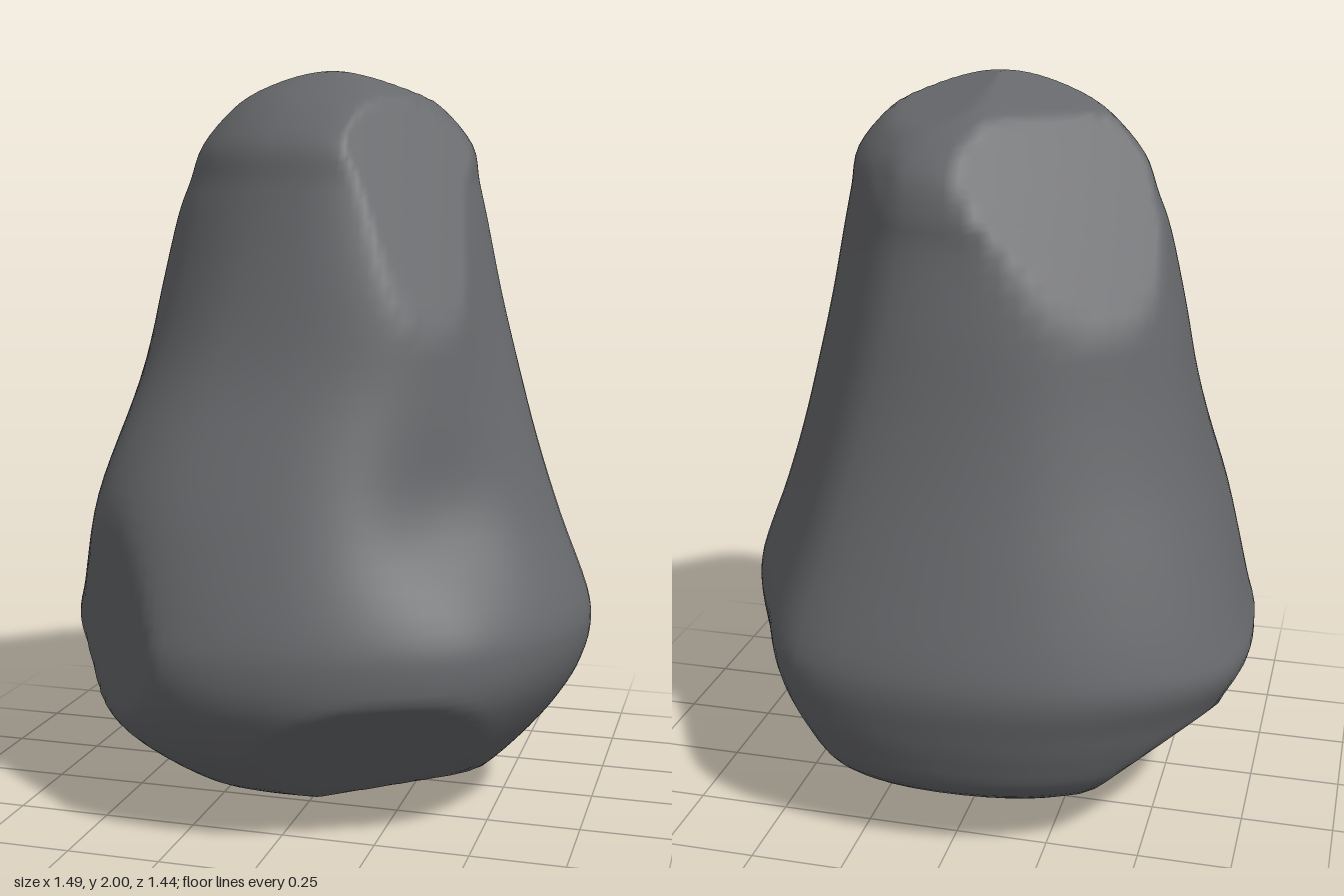
import * as THREE from 'three';

// Plan outlines (x, z) of the wide belly and of the narrow crown
const BELLY = [[-0.29, -0.72], [0.38, -0.695], [0.58, -0.39], [0.74, 0.03], [0.68, 0.3], [0.52, 0.54], [0.28, 0.67],
  [0, 0.72], [-0.28, 0.68], [-0.48, 0.49], [-0.66, 0.25], [-0.745, 0], [-0.71, -0.44]];
const CROWN = [[-0.18, -0.46], [0.13, -0.46], [0.27, -0.33], [0.38, -0.08], [0.35, 0.06], [0.3, 0.17], [0.19, 0.29],
  [0.05, 0.33], [-0.14, 0.29], [-0.29, 0.19], [-0.39, 0.06], [-0.44, -0.08], [-0.4, -0.28]];

// Height, then x and z extents of each cross-section
const LEVELS = [
  [0, -0.12, -0.12, 0.12, 0.12],
  [0.015, -0.24, 0.08, -0.03, 0.24],
  [0.05, -0.36, 0.38, -0.27, 0.34],
  [0.1, -0.48, 0.47, -0.47, 0.45],
  [0.2, -0.58, 0.57, -0.62, 0.58],
  [0.3, -0.65, 0.65, -0.67, 0.66],
  [0.4, -0.7, 0.71, -0.7, 0.71],
  [0.5, -0.745, 0.74, -0.72, 0.72],
  [0.6, -0.72, 0.73, -0.71, 0.7],
  [0.8, -0.66, 0.65, -0.655, 0.63],
  [1, -0.6, 0.58, -0.6, 0.56],
  [1.2, -0.555, 0.52, -0.555, 0.49],
  [1.4, -0.52, 0.465, -0.52, 0.43],
  [1.6, -0.475, 0.42, -0.48, 0.37],
  [1.7, -0.44, 0.395, -0.47, 0.34],
  [1.8, -0.4, 0.375, -0.43, 0.31],
  [1.9, -0.31, 0.29, -0.32, 0.21],
  [1.96, -0.21, 0.19, -0.18, 0.11],
  [1.99, -0.11, 0.09, -0.07, 0.05],
  [2, -0.01, -0.01, 0, 0],
];

// Soft bulges and hollows: centre, push and reach
const BULGES = [
  // Front right corner: belly, foot
  [new THREE.Vector3(-0.41, 0.86, 0.41), new THREE.Vector3(-0.075, 0, 0.075), 0.34],
  [new THREE.Vector3(-0.42, 0.26, 0.42), new THREE.Vector3(-0.06, 0, 0.06), 0.22],
  // Front left corner: hollow above the belly, fuller shoulder
  [new THREE.Vector3(0.46, 0.86, 0.46), new THREE.Vector3(-0.045, 0, -0.045), 0.22],
  [new THREE.Vector3(0.3, 1.4, 0.3), new THREE.Vector3(0.03, 0, 0.03), 0.22],
];

// Flat faces struck off the rock: plane normal and distance
const CHIPS = [
  // Shoulders
  [new THREE.Vector3(0.72, 0.42, 0.55), 1.004],
  [new THREE.Vector3(0.65, 0.35, -0.67), 1.005],
  [new THREE.Vector3(-0.58, 0.5, -0.64), 1.17],
  // Crown
  [new THREE.Vector3(0.24, 0.94, -0.24), 1.88],
  [new THREE.Vector3(-0.24, 0.94, -0.24), 1.88],
  // Front corner of the belly
  [new THREE.Vector3(-0.7, 0, 0.71), 0.69],
  // Underside
  [new THREE.Vector3(0.287, -0.705, 0.647), 0.215],
  [new THREE.Vector3(-0.647, -0.705, -0.287), 0.26],
  [new THREE.Vector3(0.24, -0.94, 0.24), 0.045],
  [new THREE.Vector3(-0.24, -0.94, -0.24), 0.06],
];

const SIDES = 104;
const STEPS = 4;

// Closed smooth outline, scaled so both axes run from 0 to 1
function unitOutline(points) {
  const curve = new THREE.CatmullRomCurve3(points.map(([x, z]) => new THREE.Vector3(x, 0, z)), true);
  const ring = Array.from({ length: SIDES }, (_, i) => curve.getPoint(i / SIDES));
  const box = new THREE.Box3().setFromPoints(ring);
  const size = box.getSize(new THREE.Vector3());
  return ring.map((p) => [(p.x - box.min.x) / size.x, (p.z - box.min.z) / size.z]);
}

// Apply the bulges, then push anything outside a chip plane back onto it
function carve(p) {
  for (const [centre, push, reach] of BULGES) {
    const away = p.distanceTo(centre) / reach;
    p.addScaledVector(push, Math.exp(-away * away));
  }
  for (const [normal, distance] of CHIPS) {
    const over = p.dot(normal) - distance;
    if (over > 0) p.addScaledVector(normal, -over);
  }
  return p;
}

function rockGeometry() {
  const { lerp, smoothstep } = THREE.MathUtils;
  const belly = unitOutline(BELLY);
  const crown = unitOutline(CROWN);
  const spline = (a, b) => new THREE.CatmullRomCurve3(
    LEVELS.map((l) => new THREE.Vector3(l[a], l[0], l[b])), false, 'catmullrom');
  const xs = spline(1, 2);
  const zs = spline(3, 4);
  const rows = (LEVELS.length - 1) * STEPS;
  const positions = [];
  const index = [];

  for (let r = 0; r <= rows; r++) {
    const ex = xs.getPoint(r / rows);
    const ez = zs.getPoint(r / rows);
    const blend = smoothstep(ex.y, 0.5, 1.7);
    for (let s = 0; s < SIDES; s++) {
      const u = lerp(belly[s][0], crown[s][0], blend);
      const v = lerp(belly[s][1], crown[s][1], blend);
      const p = carve(new THREE.Vector3(lerp(ex.x, ex.z, u), ex.y, lerp(ez.x, ez.z, v)));
      positions.push(p.x, p.y, p.z);
      if (r < rows) {
        const a = r * SIDES + s;
        const b = r * SIDES + (s + 1) % SIDES;
        index.push(a, a + SIDES, b, b, a + SIDES, b + SIDES);
      }
    }
  }
  const geometry = new THREE.BufferGeometry();
  geometry.setAttribute('position', new THREE.Float32BufferAttribute(positions, 3));
  geometry.setIndex(index);
  geometry.computeVertexNormals();
  return geometry;
}

export function createModel() {
  const group = new THREE.Group();
  group.name = 'boulder';
  const rock = new THREE.Mesh(rockGeometry(), new THREE.MeshStandardMaterial({ color: 0x67686b }));
  rock.name = 'rock';
  group.add(rock);
  return group;
}
